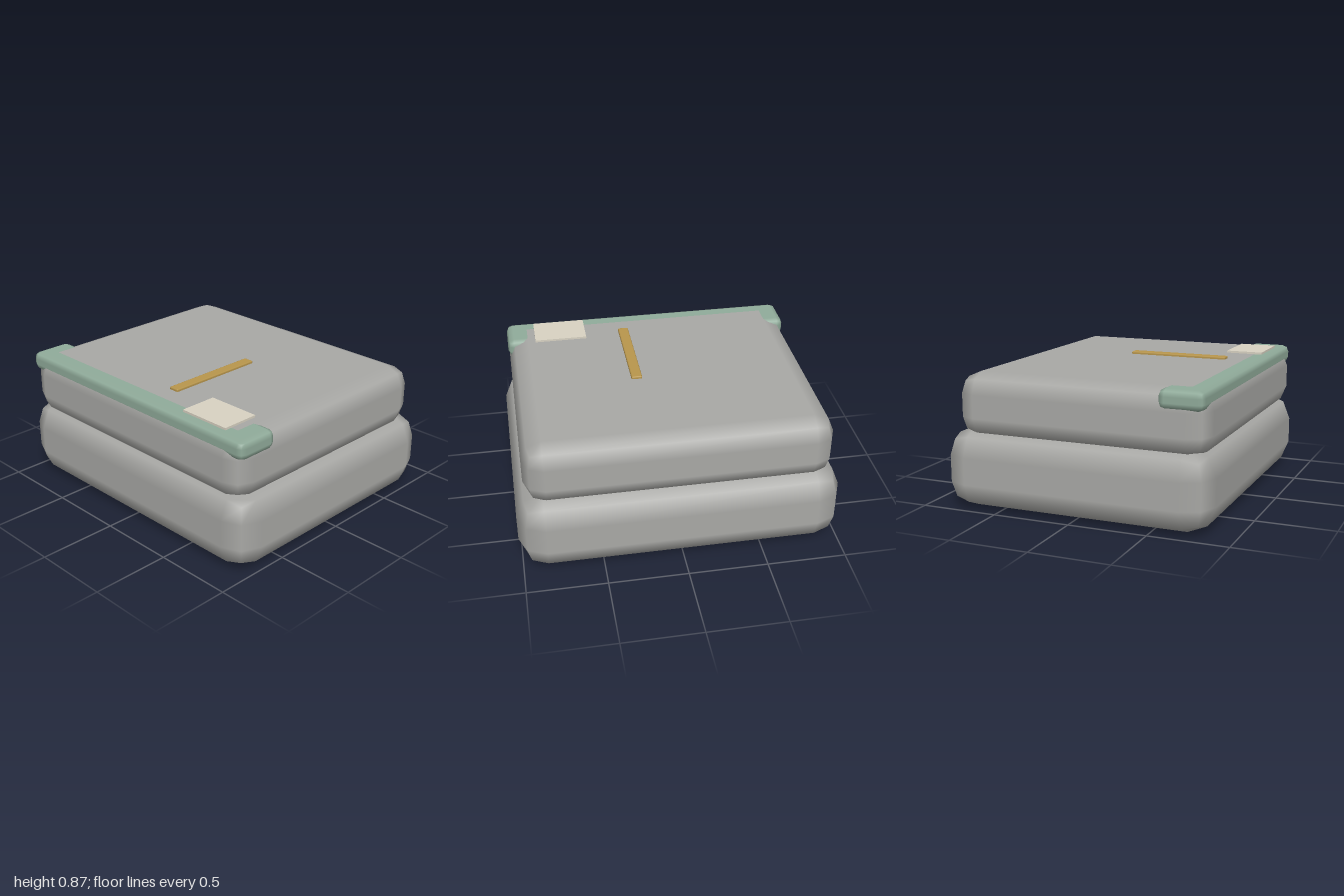
import * as THREE from 'three';
import { RoundedBoxGeometry } from 'three/addons/geometries/RoundedBoxGeometry.js';

const material = (name, color) => {
  const m = new THREE.MeshStandardMaterial({ color });
  m.name = name;
  return m;
};

// With one bevel segment the faces lie at 3/sqrt(11) of the radius,
// so the box is enlarged to make its real faces meet the given size.
const inset = 1 - 3 / Math.sqrt(11);

// Block spanning [x0,x1] x [y0,y1] x [z0,z1]; radius 0 gives sharp edges.
function block(name, mat, [x0, x1], [y0, y1], [z0, z1], radius = 0) {
  const size = [x1 - x0, y1 - y0, z1 - z0];
  const geometry = radius
    ? new RoundedBoxGeometry(...size.map((s) => s + 2 * inset * radius), 1, radius)
    : new THREE.BoxGeometry(...size);
  const mesh = new THREE.Mesh(geometry, mat);
  mesh.name = name;
  mesh.position.set((x0 + x1) / 2, (y0 + y1) / 2, (z0 + z1) / 2);
  return mesh;
}

export function createModel() {
  const grey = material('warm grey', 0xa8a8a5);
  const green = material('sage green', 0x90ab9a);
  const gold = material('ochre', 0xb8964c);
  const cream = material('cream', 0xd8d2c2);

  const model = new THREE.Group();
  model.name = 'stackedCushions';
  model.add(
    // Two soft slabs, the upper one smaller and set slightly forward
    block('lowerSlab', grey, [-1, 1], [0, 0.478], [-0.85, 0.85], 0.17),
    block('upperSlab', grey, [-0.947, 0.947], [0.445, 0.827], [-0.772, 0.828], 0.13),
    // Band across the front edge
    block('frontBand', green, [-0.963, 0.963], [0.722, 0.835], [0.547, 0.819], 0.043),
    // Flat details on top
    block('strip', gold, [0.137, 0.205], [0.825, 0.855], [-0.064, 0.594], 0.008),
    block('label', cream, [0.434, 0.78], [0.83, 0.853], [0.518, 0.76])
  );
  return model;
}
